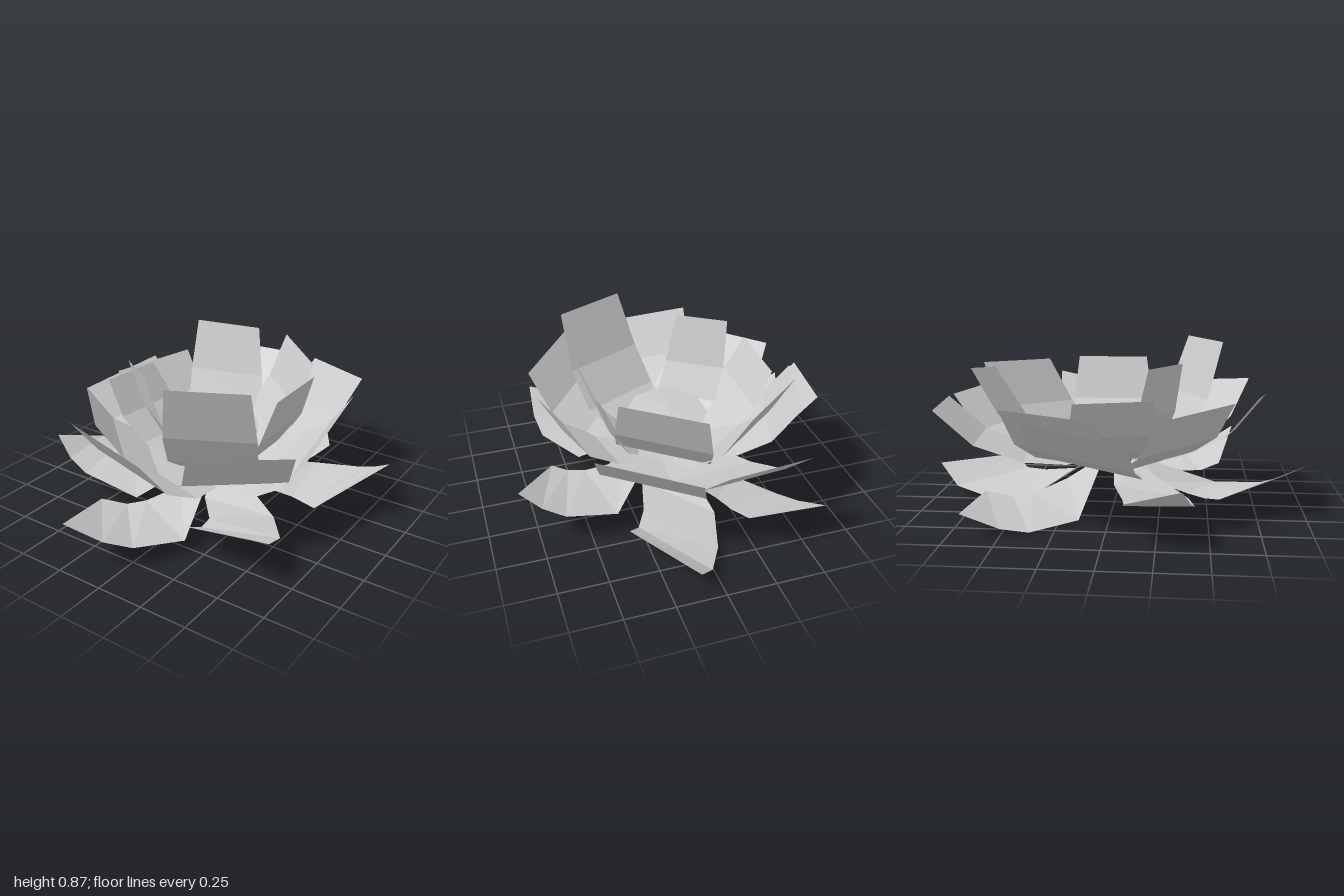
import * as THREE from 'three';

const material = new THREE.MeshStandardMaterial({ color: 0xcccccc, flatShading: true, side: THREE.DoubleSide });
const vec = (p) => new THREE.Vector3(...p);

// Join [left, right] pairs of points into one open strip
function strip(name, rows) {
  const geometry = new THREE.BufferGeometry().setFromPoints(rows.flat());
  const index = [];
  for (let i = 0; i < rows.length - 1; i++) {
    const k = i * 2;
    index.push(k, k + 1, k + 2, k + 1, k + 3, k + 2);
  }
  geometry.setIndex(index);
  geometry.computeVertexNormals();
  const mesh = new THREE.Mesh(geometry, material);
  mesh.name = name;
  return mesh;
}

// Upright petal: from tip edge a-b, curving down to a root near the centre
function uprightPetal(name, a, b, rootY, widths, heights) {
  const A = vec(a), B = vec(b);
  const mid = A.clone().add(B).multiplyScalar(0.5);
  const half = B.clone().sub(A).multiplyScalar(0.5);
  const root = new THREE.Vector3(mid.x, 0, mid.z).setLength(0.14);
  const rows = [0, 0.25, 0.57, 0.85, 1].map((t, i) => {
    const c = mid.clone().lerp(root, t);
    c.y = rootY + (mid.y - rootY) * heights[i];
    return [c.clone().addScaledVector(half, -widths[i]), c.clone().addScaledVector(half, widths[i])];
  });
  return strip(name, rows);
}

// Low twisted leaf: one side follows four points inward from the tip, the other
// runs from the far corner with the same bow; both then rise to a narrow root
function twistedLeaf(name, side, farCorner, farEnd) {
  const points = side.map(vec);
  const far = vec(farCorner), end = vec(farEnd);
  const rows = [0, 0.3, 0.6, 1].map((t, i) => {
    const bow = points[i].clone().sub(points[0].clone().lerp(points[3], t));
    return [points[i], far.clone().lerp(end, t).addScaledVector(bow, 0.8)];
  });
  const root = points[3].clone().add(end).setY(0).setLength(0.12).setY(0.23);
  const across = end.clone().sub(points[3]).setY(0).setLength(0.07);
  rows.push([root.clone().sub(across), root.clone().add(across)]);
  return strip(name, rows);
}

export function createModel() {
  const flower = new THREE.Group();
  flower.name = 'flower';

  // Steep inner ring
  const inner = [
    [[0.08, 0.87, 0.57], [0.44, 0.87, 0.39]],
    [[0.44, 0.745, 0.15], [0.43, 0.745, -0.24]],
    [[0.34, 0.74, -0.4], [0.0, 0.76, -0.7]],
    [[-0.2, 0.755, -0.72], [-0.5, 0.805, -0.52]],
    [[-0.56, 0.64, -0.15], [-0.56, 0.66, 0.23]],
    [[-0.44, 0.79, 0.2], [-0.2, 0.79, 0.36]],
  ];
  // Wide middle ring
  const middle = [
    [[-0.37, 0.65, 0.73], [0.12, 0.59, 0.81]],
    [[0.32, 0.645, 0.73], [0.65, 0.58, 0.33]],
    [[0.64, 0.51, 0.19], [0.6, 0.635, -0.37]],
    [[0.52, 0.62, -0.64], [0.09, 0.57, -0.9]],
    [[-0.03, 0.58, -0.89], [-0.46, 0.58, -0.85]],
    [[-0.57, 0.61, -0.5], [-0.72, 0.59, -0.03]],
    [[-0.72, 0.58, -0.37], [-0.83, 0.51, 0.12]],
    [[-0.71, 0.59, 0.25], [-0.31, 0.61, 0.62]],
  ];
  // Low outer ring: tip-side points, far corner, far inner end
  const outer = [
    [[[-0.2, 0.28, 1.0], [-0.05, 0.18, 0.9], [0.04, 0.12, 0.79], [0.17, 0.08, 0.55]],
      [-0.37, 0.14, 0.55], [-0.1, 0.15, 0.22]],
    [[[0.61, 0.31, 0.66], [0.62, 0.2, 0.5], [0.6, 0.15, 0.36], [0.44, 0.105, 0.15]],
      [0.2, 0.18, 0.57], [0.08, 0.15, 0.25]],
    [[[0.84, 0.31, -0.35], [0.74, 0.24, -0.41], [0.63, 0.19, -0.445], [0.37, 0.14, -0.44]],
      [0.61, 0.16, 0.04], [0.24, 0.15, -0.02]],
    [[[0.13, 0.165, -1.0], [0.03, 0.06, -0.88], [-0.06, 0.04, -0.72], [-0.14, 0.04, -0.46]],
      [0.36, 0.17, -0.62], [0.18, 0.14, -0.22]],
    [[[-0.66, 0.125, -0.68], [-0.6, 0.035, -0.5], [-0.54, 0.0, -0.37], [-0.36, 0.01, -0.15]],
      [-0.25, 0.12, -0.65], [-0.04, 0.14, -0.25]],
    [[[-0.84, 0.31, 0.37], [-0.72, 0.22, 0.41], [-0.59, 0.17, 0.43], [-0.26, 0.11, 0.4]],
      [-0.75, 0.22, 0.1], [-0.26, 0.17, 0.02]],
  ];

  inner.forEach(([a, b], i) =>
    flower.add(uprightPetal(`innerPetal${i + 1}`, a, b, 0.28, [1, 1.15, 1.15, 0.9, 0.5], [1, 0.5, 0.17, 0.03, 0])));
  middle.forEach(([a, b], i) =>
    flower.add(uprightPetal(`middlePetal${i + 1}`, a, b, 0.26, [1, 1.03, 1, 0.82, 0.45], [1, 0.43, 0.12, 0.02, 0])));
  outer.forEach((leaf, i) => flower.add(twistedLeaf(`outerLeaf${i + 1}`, ...leaf)));

  // Seed pod in the centre, open below
  const profile = [[0.1, 0.25], [0.15, 0.33], [0.21, 0.43], [0, 0.45]].map((p) => new THREE.Vector2(...p));
  const pod = new THREE.Mesh(new THREE.LatheGeometry(profile, 10), material);
  pod.name = 'seedPod';
  pod.scale.z = 1.16;
  pod.position.set(-0.02, 0, -0.03);
  flower.add(pod);

  return flower;
}
